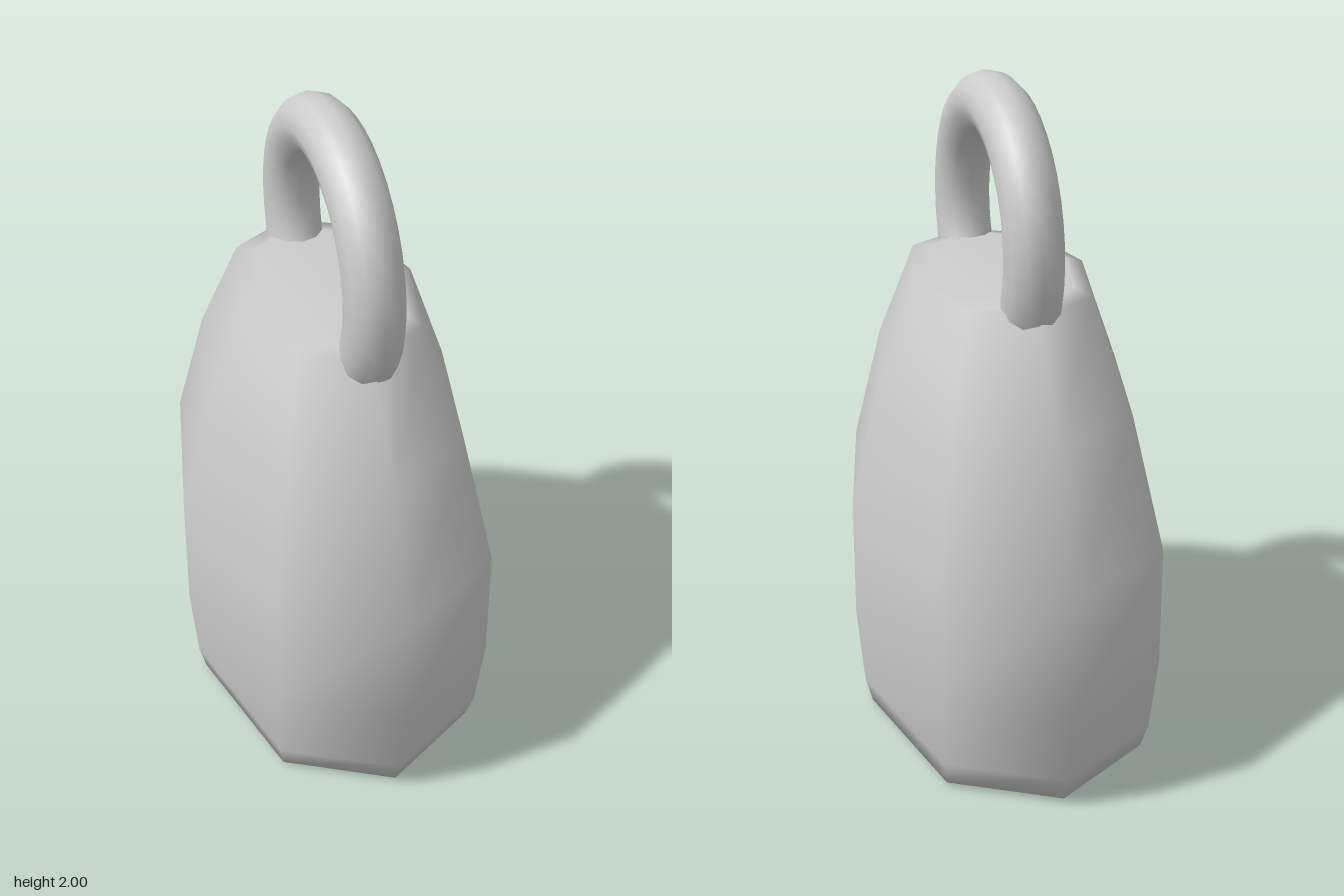
import * as THREE from 'three';

const material = new THREE.MeshStandardMaterial({ color: 0xcccccc });

// Eight-sided plan of the bell, per unit of half width and half depth
const PLAN = [[0, 1], [0.727, 0.733], [1, 0], [0.727, -0.733], [0, -1], [-0.727, -0.733], [-1, 0], [-0.727, 0.733]];

// Cross-sections from bottom to top: [height, half width, half depth]
const RINGS = [
  [0, 0.34, 0.53],
  [0.015, 0.422, 0.645],
  [0.1, 0.443, 0.675],
  [0.35, 0.463, 0.706],
  [0.72, 0.46, 0.7],
  [1.11, 0.368, 0.558],
  [1.43, 0.255, 0.38],
  [1.443, 0.205, 0.31],
];

// Smooth closed loft through the rings, with a fan at each end
function loft(rings, plan) {
  const n = plan.length;
  const positions = [];
  const index = [];
  for (const [y, w, d] of rings) {
    for (const [x, z] of plan) positions.push(x * w, y, z * d);
  }
  for (let r = 0; r < rings.length - 1; r++) {
    for (let i = 0; i < n; i++) {
      const a = r * n + i;
      const b = r * n + (i + 1) % n;
      index.push(a, b, b + n, a, b + n, a + n);
    }
  }
  const bottom = rings.length * n;
  const top = bottom + 1;
  const last = (rings.length - 1) * n;
  positions.push(0, rings[0][0], 0, 0, rings[rings.length - 1][0], 0);
  for (let i = 0; i < n; i++) {
    const j = (i + 1) % n;
    index.push(bottom, j, i, top, last + i, last + j);
  }
  const geometry = new THREE.BufferGeometry();
  geometry.setAttribute('position', new THREE.Float32BufferAttribute(positions, 3));
  geometry.setIndex(index);
  geometry.computeVertexNormals();
  return geometry;
}

export function createModel() {
  const group = new THREE.Group();
  group.name = 'cowbell';

  // Tapered bell body
  const body = new THREE.Mesh(loft(RINGS, PLAN), material);
  body.name = 'body';
  group.add(body);

  // Ring handle standing front to back, its lower part sunk in the body
  const handle = new THREE.Mesh(new THREE.TorusGeometry(0.352, 0.085, 12, 40), material);
  handle.name = 'handle';
  handle.rotation.y = Math.PI / 2;
  handle.position.set(0.005, 1.563, 0.016);
  group.add(handle);

  return group;
}
